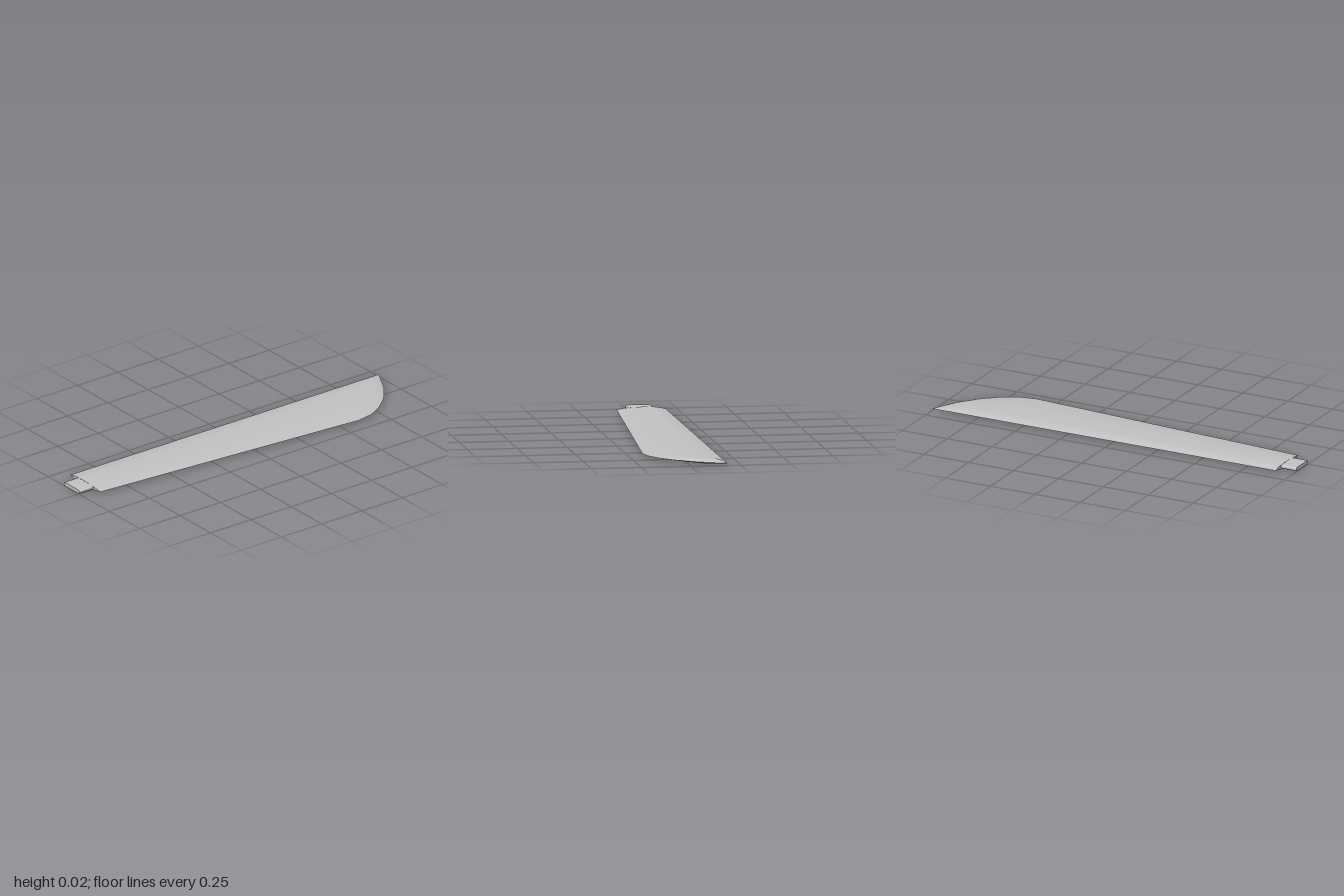
import * as THREE from 'three';

const MID = 0.0113;    // height of the blade's middle plane
const HALF = 0.0113;   // half of the full thickness
const LEAD = -0.182;   // straight leading edge

// Trailing edge as [z, x], from root to tip
const EDGE = [
  [0.915, 0.064], [0.5, 0.096], [0.1, 0.126], [-0.3, 0.157], [-0.6, 0.18],
  [-0.69, 0.165], [-0.77, 0.123], [-0.85, 0.057], [-0.925, -0.038],
  [-0.965, -0.112], [-1, -0.181],
];

// Half-section from leading to trailing edge as [x, half thickness]
function section(edge) {
  const chord = edge - LEAD;
  const front = LEAD + Math.min(0.07, chord * 0.28);
  const rear = Math.min(0.005, LEAD + chord * 0.6);
  const h = HALF * Math.min(1, chord / 0.15);
  const points = [];
  for (const [t, k] of [[0, 0], [0.35, 0.45], [0.7, 0.82], [1, 0.96]])
    points.push([THREE.MathUtils.lerp(LEAD, front, t), h * k]);
  points.push([(front + rear) / 2, h]);
  for (const [t, k] of [[0, 0.98], [0.3, 0.83], [0.65, 0.5], [1, 0]])
    points.push([THREE.MathUtils.lerp(rear, edge, t), h * k]);
  return points;
}

// One smooth face of the blade; side is 1 for the top, -1 for the underside
function bladeSkin(side) {
  const pos = [], index = [];
  EDGE.forEach(([z, x]) => section(x).forEach(([px, h]) => pos.push(px, MID + side * h, z)));
  const n = section(0).length;
  for (let i = 0; i < EDGE.length - 1; i++) {
    for (let j = 0; j < n - 1; j++) {
      const a = i * n + j, b = a + 1, c = a + n, d = c + 1;
      if (side > 0) index.push(a, b, c, b, d, c);
      else index.push(a, c, b, b, c, d);
    }
  }
  const geo = new THREE.BufferGeometry();
  geo.setAttribute('position', new THREE.Float32BufferAttribute(pos, 3));
  geo.setIndex(index);
  geo.computeVertexNormals();
  return geo;
}

export function createModel() {
  const model = new THREE.Group();
  model.name = 'blade';
  const grey = new THREE.MeshStandardMaterial({ color: 0xc4c4c4 });
  grey.name = 'light grey';

  const add = (name, geometry) => {
    const mesh = new THREE.Mesh(geometry, grey);
    mesh.name = name;
    model.add(mesh);
    return mesh;
  };

  // Blade surfaces
  add('bladeTop', bladeSkin(1));
  add('bladeUnderside', bladeSkin(-1));

  // Flat end closing the root
  const root = section(EDGE[0][1]);
  const outline = [
    ...root.map(([x, h]) => new THREE.Vector2(x, MID - h)),
    ...root.slice(1, -1).reverse().map(([x, h]) => new THREE.Vector2(x, MID + h)),
  ];
  add('rootCap', new THREE.ShapeGeometry(new THREE.Shape(outline))).position.z = EDGE[0][0];

  // Mounting tang with rounded sides
  const r = 0.01;
  const tang = new THREE.Shape();
  tang.absarc(-0.005, MID, r, -Math.PI / 2, Math.PI / 2);
  tang.absarc(-0.112, MID, r, Math.PI / 2, Math.PI * 1.5);
  tang.closePath();
  add('tang', new THREE.ExtrudeGeometry(tang, { depth: 0.1, bevelEnabled: false, curveSegments: 8 }))
    .position.z = 0.9;

  return model;
}
